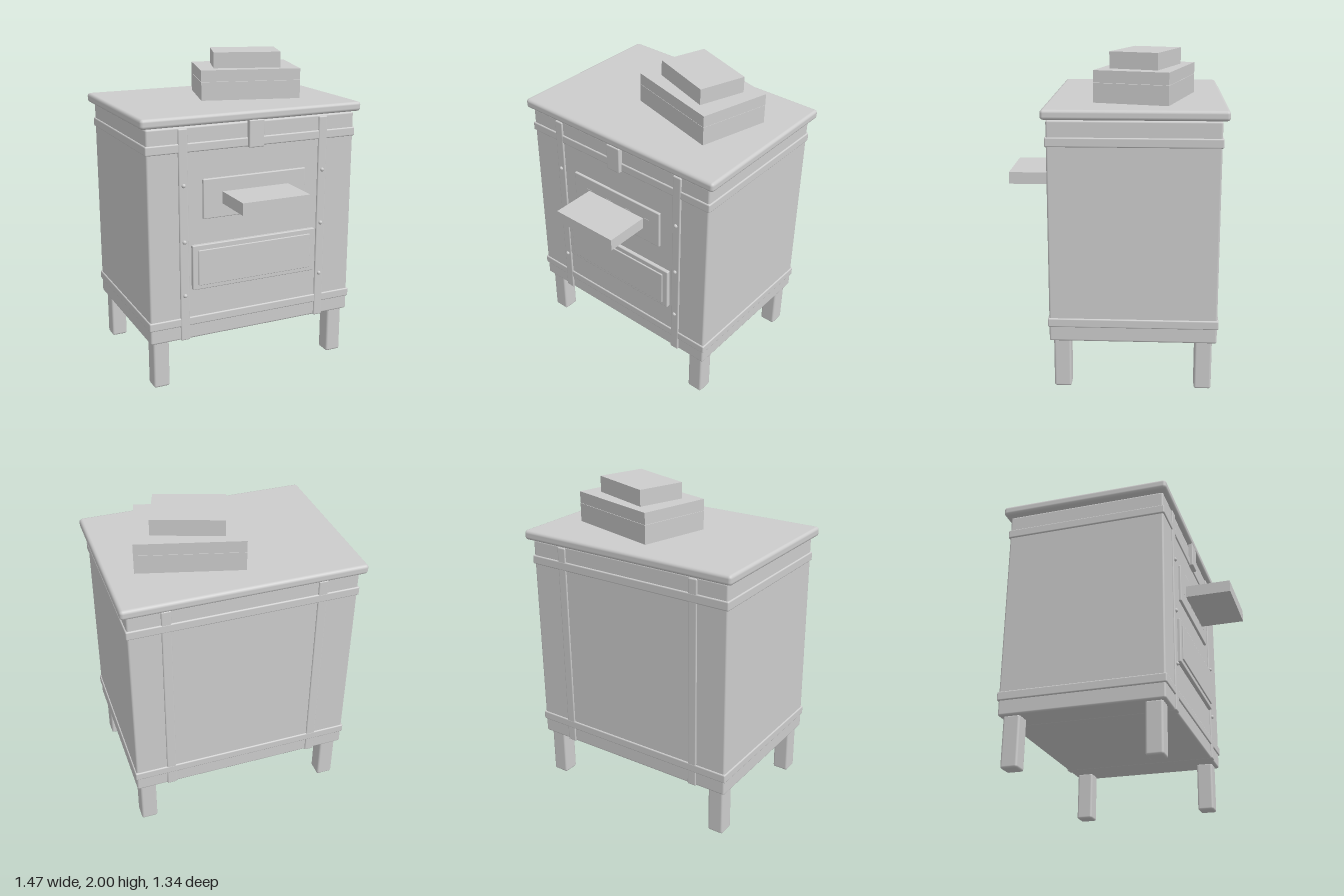
import * as THREE from 'three';
import { RoundedBoxGeometry } from 'three/addons/geometries/RoundedBoxGeometry.js';

export function createModel() {
  const model = new THREE.Group();
  model.name = 'cabinet';
  const grey = new THREE.MeshStandardMaterial({ color: 0xcccccc });
  grey.name = 'plain grey';

  // Box given by its [min, max] extents; radius 0 keeps sharp edges.
  function box(name, [x0, x1], [y0, y1], [z0, z1], radius = 0) {
    const size = [x1 - x0, y1 - y0, z1 - z0];
    const geometry = radius
      ? new RoundedBoxGeometry(...size, 2, radius)
      : new THREE.BoxGeometry(...size);
    const mesh = new THREE.Mesh(geometry, grey);
    mesh.name = name;
    mesh.position.set((x0 + x1) / 2, (y0 + y1) / 2, (z0 + z1) / 2);
    model.add(mesh);
    return mesh;
  }

  // Cabinet body and overhanging lid
  box('body', [-0.695, 0.695], [0.307, 1.645], [-0.63, 0.37], 0.012);
  box('lid', [-0.733, 0.733], [1.65, 1.71], [-0.668, 0.398], 0.02);
  box('lidSeat', [-0.68, 0.68], [1.63, 1.66], [-0.615, 0.355]);

  // Horizontal bands around the body
  box('upperBand', [-0.703, 0.703], [1.492, 1.548], [-0.638, 0.378], 0.008);
  box('lowerBand', [-0.703, 0.703], [0.398, 0.453], [-0.638, 0.378], 0.008);

  // Vertical straps with rivets on the front, and the four legs
  for (const side of [-1, 1]) {
    const x = side * 0.47;
    box('strap', [x - 0.03, x + 0.03], [0.305, 1.636], [-0.637, 0.38], 0.008);
    for (const y of [0.6, 0.945, 1.295]) {
      const rivet = new THREE.Mesh(new THREE.SphereGeometry(0.013, 12, 8), grey);
      rivet.name = 'rivet';
      rivet.position.set(x, y, 0.38);
      model.add(rivet);
    }
    for (const z of [0.295, -0.552]) {
      const lx = side * 0.62;
      box('leg', [lx - 0.052, lx + 0.052], [0, 0.315], [z - 0.052, z + 0.052], 0.014);
    }
  }

  // Front latch hanging from the lid
  box('latch', [-0.05, 0.05], [1.487, 1.655], [0.365, 0.4], 0.007);

  // Slot plate with a tray sticking out
  box('slotPlate', [-0.347, 0.347], [1.075, 1.322], [0.36, 0.386], 0.006);
  box('slot', [-0.273, 0.273], [1.155, 1.242], [0.36, 0.3865]);
  box('tray', [-0.222, 0.222], [1.16, 1.235], [0.36, 0.668]);

  // Lower framed panel
  box('panelFrame', [-0.423, 0.42], [0.632, 0.918], [0.36, 0.393], 0.006);
  box('panel', [-0.387, 0.384], [0.66, 0.886], [0.37, 0.402], 0.004);

  // Stacked boxes, turned on the lid
  function stackedBox(name, width, depth, y, degrees) {
    const mesh = box(name, [-width / 2, width / 2], y, [-depth / 2, depth / 2]);
    mesh.position.x = 0.198;
    mesh.position.z = -0.187;
    mesh.rotation.y = THREE.MathUtils.degToRad(-degrees);
  }
  stackedBox('bottomBox', 0.637, 0.457, [1.705, 1.826], 15);
  stackedBox('middleBox', 0.637, 0.457, [1.828, 1.9], 15);
  stackedBox('topBox', 0.428, 0.304, [1.9, 2], 19.2);

  return model;
}
